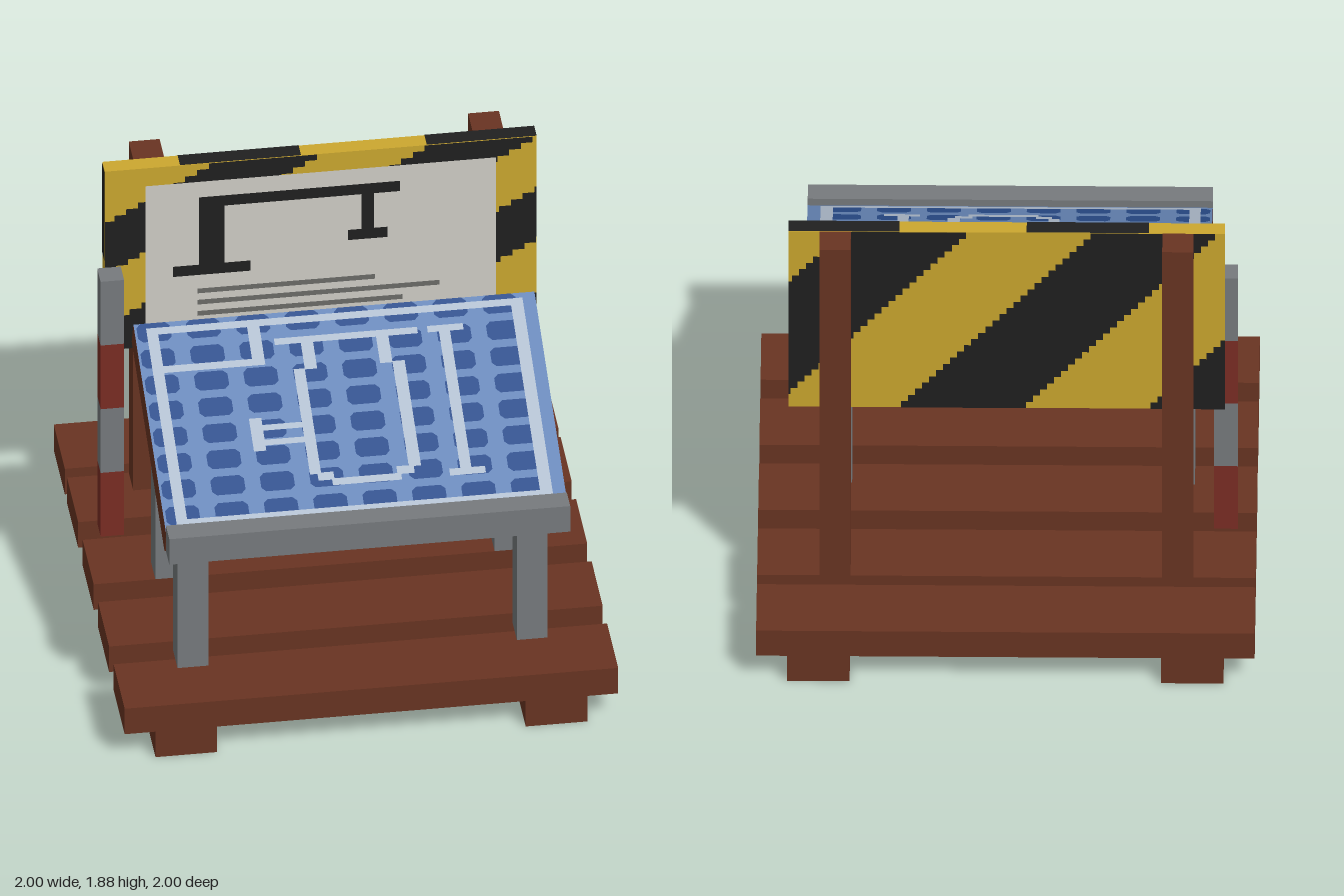
import * as THREE from 'three';
import { mergeGeometries } from 'three/addons/utils/BufferGeometryUtils.js';

function mat(name, color) {
  const m = new THREE.MeshStandardMaterial({ color });
  m.name = name;
  return m;
}

export function createModel() {
  const wood = mat('wood', 0x693422);
  const steel = mat('steel grey', 0x777b7e);
  const red = mat('stripe red', 0x7b2d24);
  const yellow = mat('hazard yellow', 0xcca82f);
  const black = mat('hazard black', 0x202020);
  const white = mat('panel white', 0xd0cec7);
  const lineGrey = mat('line grey', 0x6c6c69);
  const darkBlue = mat('plan dark blue', 0x2a4d8c);
  const midBlue = mat('plan mid blue', 0x6888ba);
  const paleBlue = mat('plan pale blue', 0xb2bfd0);

  const model = new THREE.Group();
  model.name = 'planningStation';

  // Box given by its extents on each axis
  function box(name, material, x0, x1, y0, y1, z0, z1, parent = model) {
    const g = new THREE.BoxGeometry(x1 - x0, y1 - y0, z1 - z0);
    g.translate((x0 + x1) / 2, (y0 + y1) / 2, (z0 + z1) / 2);
    const mesh = new THREE.Mesh(g, material);
    mesh.name = name;
    parent.add(mesh);
    return mesh;
  }

  // Flat painted patches [x0, x1, y0, y1] facing +z, with optional cut corners
  function paint(name, material, rects, z, parent, cut = 0) {
    const parts = rects.map(([x0, x1, y0, y1]) => {
      if (!cut) {
        return new THREE.PlaneGeometry(x1 - x0, y1 - y0).translate((x0 + x1) / 2, (y0 + y1) / 2, z);
      }
      const pts = [[x0 + cut, y0], [x1 - cut, y0], [x1, y0 + cut], [x1, y1 - cut],
        [x1 - cut, y1], [x0 + cut, y1], [x0, y1 - cut], [x0, y0 + cut]];
      const shape = new THREE.Shape(pts.map(([x, y]) => new THREE.Vector2(x, y)));
      return new THREE.ShapeGeometry(shape).translate(0, 0, z);
    });
    const mesh = new THREE.Mesh(mergeGeometries(parts), material);
    mesh.name = name;
    parent.add(mesh);
  }

  // Pallet: two runners and five planks
  for (const s of [-1, 1]) box('palletRunner', wood, s * 0.75 - 0.125, s * 0.75 + 0.125, 0, 0.125, -1, 1);
  for (const z of [-1, -0.625, -0.1875, 0.25, 0.6875]) {
    box('palletPlank', wood, -1, 1, 0.125, 0.25, z, z + 0.3125);
  }

  // Table legs and sign posts
  for (const s of [-1, 1]) {
    const a = s * 0.6875 - 0.0625, b = a + 0.125;
    box('frontLeg', steel, a, b, 0.25, 0.97, 0.625, 0.75);
    box('backLeg', steel, a, b, 0.25, 1.23, 0, 0.125);
    box('signPost', wood, a, b, 0.25, 1.875, -0.625, -0.5);
  }

  // Banded marker pole
  for (let i = 0; i < 4; i++) {
    const y = 0.25 + i * 0.3125;
    box('poleBand', i % 2 ? steel : red, -0.925, -0.83, y, y + 0.3125, -0.295, -0.2);
  }

  // Tilted drawing board and its front ledge
  const board = new THREE.Group();
  board.name = 'drawingBoard';
  board.position.set(0, 1.126, 0.378);
  board.rotation.x = Math.PI / 8;
  model.add(board);
  box('boardSlab', wood, -0.8125, 0.8125, -0.0625, 0.0625, -0.5, 0.5, board);
  box('ledge', steel, -0.8125, 0.8125, 0.905, 1.03, 0.857, 0.953);

  // Plan sheet: grid cells under a pale line drawing
  const sheet = new THREE.Group();
  sheet.name = 'planSheet';
  sheet.position.y = 0.0625;
  sheet.rotation.x = -Math.PI / 2;
  board.add(sheet);
  paint('sheetBase', midBlue, [[-0.8125, 0.8125, -0.5, 0.5]], 0.002, sheet);
  const cells = [];
  for (let i = 0; i < 8; i++) {
    for (let j = 0; j < 8; j++) {
      const x = -0.735 + i * 0.2, y = 0.455 - j * 0.125;
      cells.push([x - 0.068, x + 0.068, y - 0.044, y + 0.044]);
    }
  }
  paint('gridCells', darkBlue, cells, 0.004, sheet, 0.018);
  const drawing = [
    [-0.765, 0.76, -0.04, -0.01], [-0.765, 0.76, 0.805, 0.83],     // frame
    [-0.765, -0.72, -0.01, 0.805], [0.71, 0.76, -0.01, 0.805],
    [-0.72, -0.31, 0.13, 0.16], [-0.36, -0.31, -0.01, 0.13],       // corner room
    [-0.26, 0.32, 0.05, 0.078],                                    // crossbar
    [-0.155, -0.105, 0.078, 0.195], [0.15, 0.2, 0.078, 0.195],
    [-0.2, -0.155, 0.19, 0.655], [0.2, 0.25, 0.19, 0.655],         // rounded tank
    [-0.17, -0.105, 0.65, 0.685], [0.15, 0.22, 0.65, 0.685],
    [-0.115, 0.165, 0.68, 0.71],
    [0.405, 0.45, 0.078, 0.68],                                    // long bar
    [0.36, 0.505, 0.05, 0.078], [0.36, 0.505, 0.68, 0.71],
    [-0.41, -0.36, 0.39, 0.535],                                   // side valve
    [-0.36, -0.2, 0.422, 0.447], [-0.36, -0.2, 0.487, 0.512],
  ];
  const toSheet = (z) => (0.398 - z) / 0.924;
  paint('planLines', paleBlue, drawing.map(([a, b, z0, z1]) => [a, b, toSheet(z1), toSheet(z0)]), 0.006, sheet);

  // Sign board
  const sign = new THREE.Group();
  sign.name = 'sign';
  sign.position.set(0, 1.4375, -0.465);
  model.add(sign);
  box('signBoard', yellow, -0.875, 0.875, -0.4375, 0.4375, -0.035, 0.035, sign);

  // Stepped diagonal stripes: start is a black band's left edge at the top
  function stripes(start, width, slope, rows) {
    const out = [], h = 0.875 / rows;
    for (let r = 0; r < rows; r++) {
      const top = 0.4375 - r * h;
      for (let k = -3; k <= 4; k++) {
        const x = start + k * width * 2 - slope * (r + 0.5) * h;
        const a = Math.max(x, -0.875), b = Math.min(x + width, 0.875);
        if (b - a > 0.001) out.push([a, b, top - h, top]);
      }
    }
    return out;
  }
  paint('frontStripes', black, stripes(-0.43, 0.4375, 1.75, 32), 0.037, sign);
  const back = new THREE.Group();
  back.name = 'signBack';
  back.rotation.y = Math.PI;
  sign.add(back);
  paint('backStripes', black, stripes(0.35, 0.5, 0.9, 28), 0.037, back);

  // Stripes on the sign's edges
  for (const [name, tilt, y] of [['signTop', -1, 1], ['signUnderside', 1, -1]]) {
    const edge = new THREE.Group();
    edge.name = name;
    edge.rotation.x = tilt * Math.PI / 2;
    edge.position.y = y * 0.4375;
    sign.add(edge);
    paint('edgeStripes', black, [[-0.57, -0.08, -0.035, 0.035], [0.43, 0.875, -0.035, 0.035]], 0.002, edge);
  }
  for (const s of [-1, 1]) {
    const edge = new THREE.Group();
    edge.name = 'signSide';
    edge.rotation.y = s * Math.PI / 2;
    edge.position.x = s * 0.875;
    sign.add(edge);
    paint('edgeStripe', black, [[-0.035, 0.035, 0, 0.4375]], 0.002, edge);
  }

  // Pale panel with a crane outline and ruled lines
  const panel = new THREE.Group();
  panel.name = 'signPanel';
  panel.position.y = -1.4375;
  sign.add(panel);
  paint('panelFace', white, [[-0.71, 0.71, 1.08, 1.79]], 0.039, panel);
  paint('craneShape', black, [
    [-0.495, 0.32, 1.665, 1.715], [-0.495, -0.39, 1.385, 1.665], [-0.6, -0.285, 1.335, 1.385],
    [0.165, 0.215, 1.495, 1.665], [0.11, 0.27, 1.445, 1.495],
  ], 0.041, panel);
  paint('ruledLines', lineGrey, [
    [-0.5, 0.22, 1.245, 1.268], [-0.5, 0.48, 1.19, 1.213], [-0.5, 0.33, 1.135, 1.158],
  ], 0.041, panel);

  return model;
}
